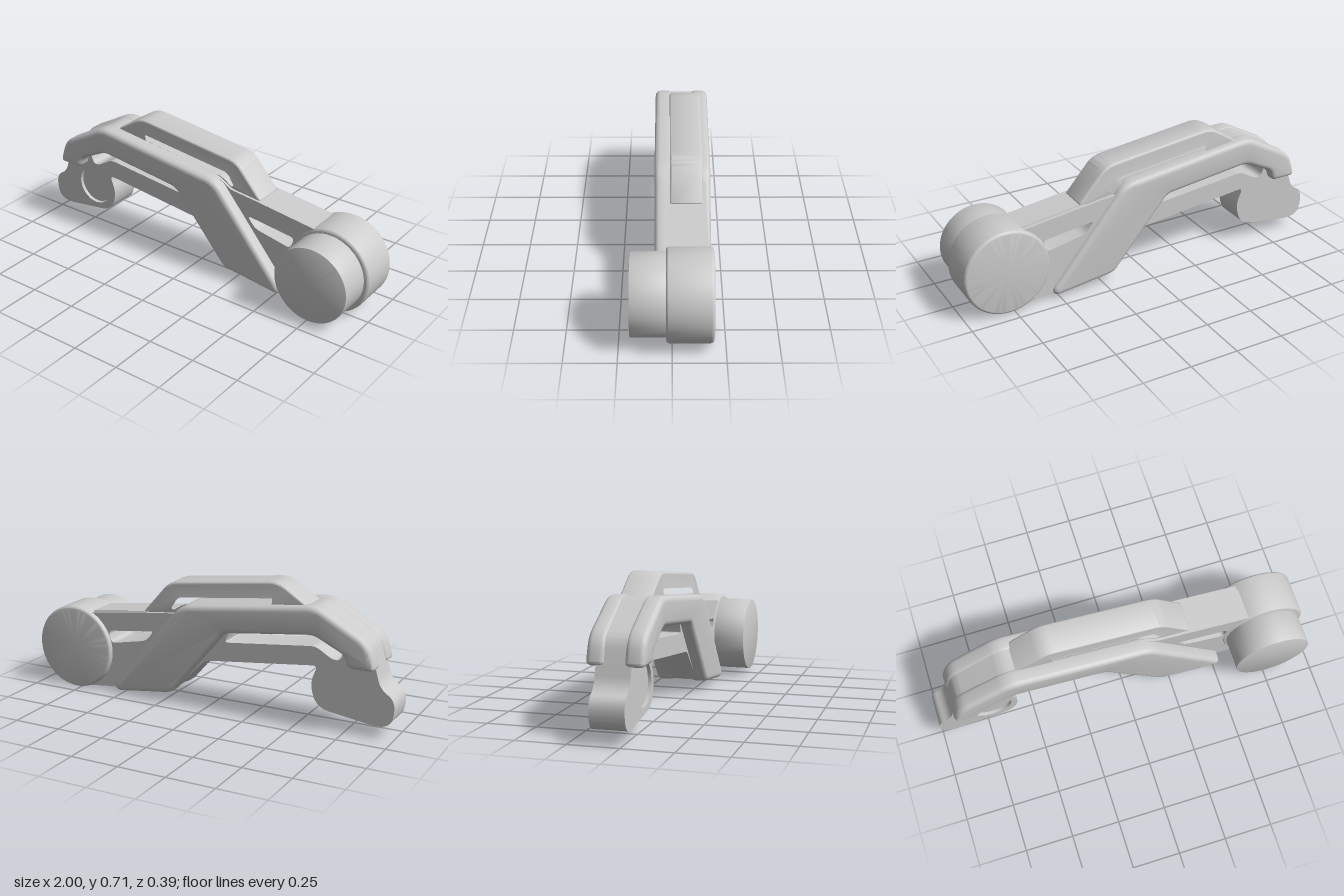
import * as THREE from 'three';
import { toCreasedNormals } from 'three/addons/utils/BufferGeometryUtils.js';

const material = new THREE.MeshStandardMaterial({ color: 0xcccccc });

// Trace a closed polygon of [x, y, cornerRadius] points with rounded corners.
function trace(path, points) {
  const n = points.length;
  points.forEach(([x, y, r = 0.02], i) => {
    const p = new THREE.Vector2(x, y);
    const toward = ([qx, qy]) => {
      const d = new THREE.Vector2(qx, qy).sub(p);
      return d.setLength(Math.min(r, d.length() * 0.48)).add(p);
    };
    const a = toward(points[(i + n - 1) % n]);
    const b = toward(points[(i + 1) % n]);
    if (i === 0) path.moveTo(a.x, a.y);
    else path.lineTo(a.x, a.y);
    path.quadraticCurveTo(x, y, b.x, b.y);
  });
  path.closePath();
  return path;
}

function add(group, name, geometry) {
  const mesh = new THREE.Mesh(toCreasedNormals(geometry, 0.6), material);
  mesh.name = name;
  group.add(mesh);
  return mesh;
}

// Plate between two depths, with optional holes and rounded rims.
function plate(group, name, outline, z0, z1, { holes = [], bevel = 0 } = {}) {
  const shape = trace(new THREE.Shape(), outline);
  shape.holes.push(...holes);
  const geometry = new THREE.ExtrudeGeometry(shape, {
    depth: z1 - z0 - 2 * bevel, curveSegments: 8,
    bevelEnabled: bevel > 0, bevelSize: bevel, bevelThickness: bevel,
    bevelOffset: -bevel, bevelSegments: 4,
  });
  geometry.translate(0, 0, z0 + bevel);
  return add(group, name, geometry);
}

// Round drum along z with softened rims.
function drum(group, name, x, y, r, z0, z1, soft) {
  const profile = [new THREE.Vector2(0, z0)];
  for (let i = 0; i <= 5; i++) {
    const t = (i / 5) * Math.PI / 2;
    profile.push(new THREE.Vector2(r - soft + soft * Math.sin(t), z0 + soft - soft * Math.cos(t)));
  }
  for (let i = 0; i <= 5; i++) {
    const t = (i / 5) * Math.PI / 2;
    profile.push(new THREE.Vector2(r - soft + soft * Math.cos(t), z1 - soft + soft * Math.sin(t)));
  }
  profile.push(new THREE.Vector2(0, z1));
  const geometry = new THREE.LatheGeometry(profile, 72);
  geometry.rotateX(Math.PI / 2);
  geometry.scale(1, 1, 1);
  return add(group, name, geometry).position.set(x, y, 0);
}

export function createModel() {
  const group = new THREE.Group();
  group.name = 'linkageArm';

  const pivot = [-0.714, 0.227];
  const hub = [0.777, 0.223];

  // Openings through the arm
  const leftWindow = [
    [-0.74, 0.42], [-0.72, 0.36, 0.03], [-0.68, 0.36, 0.03], [-0.59, 0.414, 0.03],
    [-0.1, 0.361], [-0.13, 0.432], [-0.59, 0.487],
  ];
  const rightWindow = [[0.3, 0.369], [0.577, 0.335, 0.025], [0.557, 0.27, 0.025], [0.345, 0.312, 0.03]];
  const hole = (points) => trace(new THREE.Path(), points);
  const pivotHole = new THREE.Path().absarc(...pivot, 0.108, 0, Math.PI * 2, true);

  // Core arm: left lobe, link and right fork
  plate(group, 'coreArm', [
    [-0.9, 0.345, 0.04], [-0.925, 0.25, 0.07], [-1.008, 0.2, 0.09], [-0.985, 0.05, 0.1],
    [-0.605, 0.102, 0.07], [-0.565, 0.22, 0.07], [-0.605, 0.318, 0.03],
    [0.01, 0.249, 0.02], [0.2, 0.062], [0.52, 0.028], [0.755, 0.003],
    [0.8, 0.41], [0.676, 0.425], [0.34, 0.468], [0.195, 0.484],
    [0.126, 0.527], [-0.602, 0.617, 0.04], [-0.865, 0.469, 0.05],
  ], -0.144, 0.024, { holes: [hole(leftWindow), hole(rightWindow), pivotHole] });

  // Thicker back of the right fork
  plate(group, 'forkBack', [
    [0.02, 0.26], [0.2, 0.066], [0.52, 0.032], [0.755, 0.007],
    [0.8, 0.41], [0.676, 0.421], [0.34, 0.464], [0.195, 0.48], [0.1, 0.48],
  ], -0.168, -0.14, { holes: [hole(rightWindow)] });

  // Pin set slightly below the front of the lobe
  const pin = new THREE.CylinderGeometry(0.104, 0.104, 0.152, 48);
  pin.rotateX(Math.PI / 2);
  add(group, 'pivotPin', pin).position.set(...pivot, -0.068);
  const seat = new THREE.CylinderGeometry(0.108, 0.108, 0.13, 48);
  seat.rotateX(Math.PI / 2);
  add(group, 'pivotSeat', seat).position.set(...pivot, -0.079);

  // Upper rail
  plate(group, 'upperRail', [
    [-0.56, 0.6], [-0.39, 0.71, 0.05], [0.215, 0.638, 0.05],
    [0.372, 0.46], [0.17, 0.46], [0.12, 0.51],
  ], -0.15, 0.01, {
    bevel: 0.012,
    holes: [hole([
      [-0.375, 0.638, 0.025], [0.172, 0.574, 0.03], [0.22, 0.497, 0.025],
      [0.19, 0.479], [0.126, 0.52], [-0.37, 0.582],
    ])],
  });

  // Bent side covers, front and back
  const coverOutline = [
    [-0.912, 0.34, 0.03], [-0.767, 0.338, 0.03], [-0.752, 0.4, 0.03], [-0.59, 0.478, 0.03],
    [-0.115, 0.42, 0.03], [0.195, 0.056, 0.03], [0.525, 0.014, 0.03], [0.538, 0.05, 0.03],
    [0.134, 0.533, 0.06], [-0.602, 0.622, 0.05], [-0.872, 0.474, 0.06],
  ];
  plate(group, 'frontCover', coverOutline, -0.012, 0.087, { bevel: 0.026 });
  plate(group, 'backCover', coverOutline, -0.193, -0.1, { bevel: 0.026 });

  // Right hub and its projecting boss
  drum(group, 'hub', ...hub, 0.223, -0.193, 0.028, 0.016);
  drum(group, 'hubBoss', 0.775, 0.224, 0.199, 0, 0.195, 0.002);

  return group;
}
